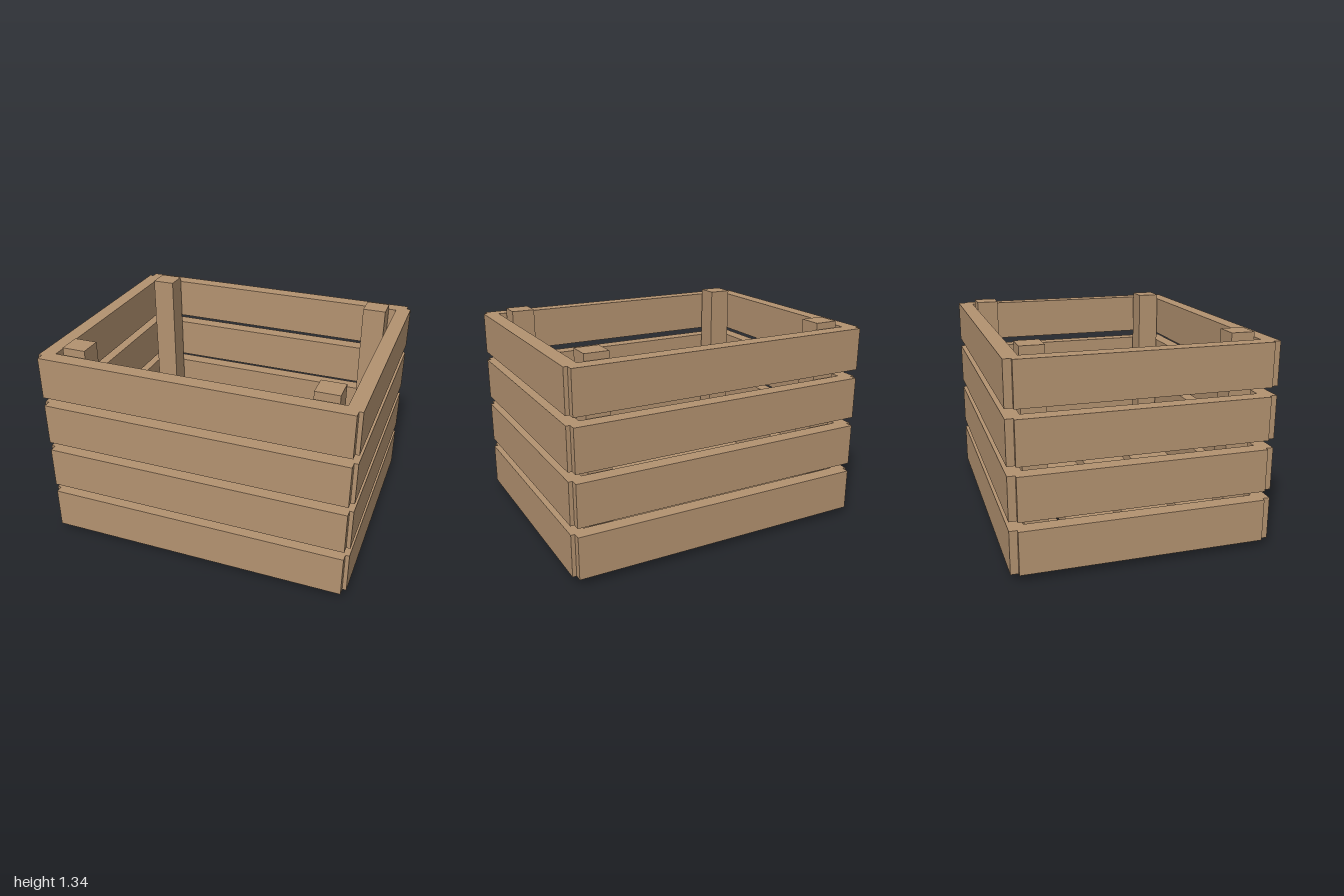
import * as THREE from 'three';

export function createModel() {
  const crate = new THREE.Group();
  crate.name = 'crate';
  const wood = new THREE.MeshStandardMaterial({ color: 0xb39270 });

  // Box given by its size and centre
  const plank = (name, w, h, d, x, y, z) => {
    const mesh = new THREE.Mesh(new THREE.BoxGeometry(w, h, d), wood);
    mesh.name = name;
    mesh.position.set(x, y, z);
    crate.add(mesh);
  };

  // Four rows of wall slats, lapping into each other at the corners
  for (let row = 0; row < 4; row++) {
    const y = 0.18 + row * 0.327;
    for (const [side, s] of [['front', 1], ['back', -1]])
      plank(`${side}Slat${row + 1}`, 1.95, 0.27, 0.094, 0, y, s * 0.762);
    for (const [side, s] of [['left', 1], ['right', -1]])
      plank(`${side}Slat${row + 1}`, 0.094, 0.27, 1.522, s * 0.953, y, 0);
  }

  // Floor boards running from side to side
  for (let i = 0; i < 4; i++)
    plank(`floorBoard${i + 1}`, 1.845, 0.09, 0.325, -0.003, 0.055, (i - 1.5) * 0.381 - 0.003);

  // Corner posts standing just inside the walls
  for (const [side, sx] of [['Left', 1], ['Right', -1]])
    for (const [end, sz] of [['front', 1], ['back', -1]])
      plank(`${end}${side}Post`, 0.15, 1.335, 0.145, sx * 0.787 - 0.003, 0.6675, sz * 0.626 - 0.003);

  return crate;
}
